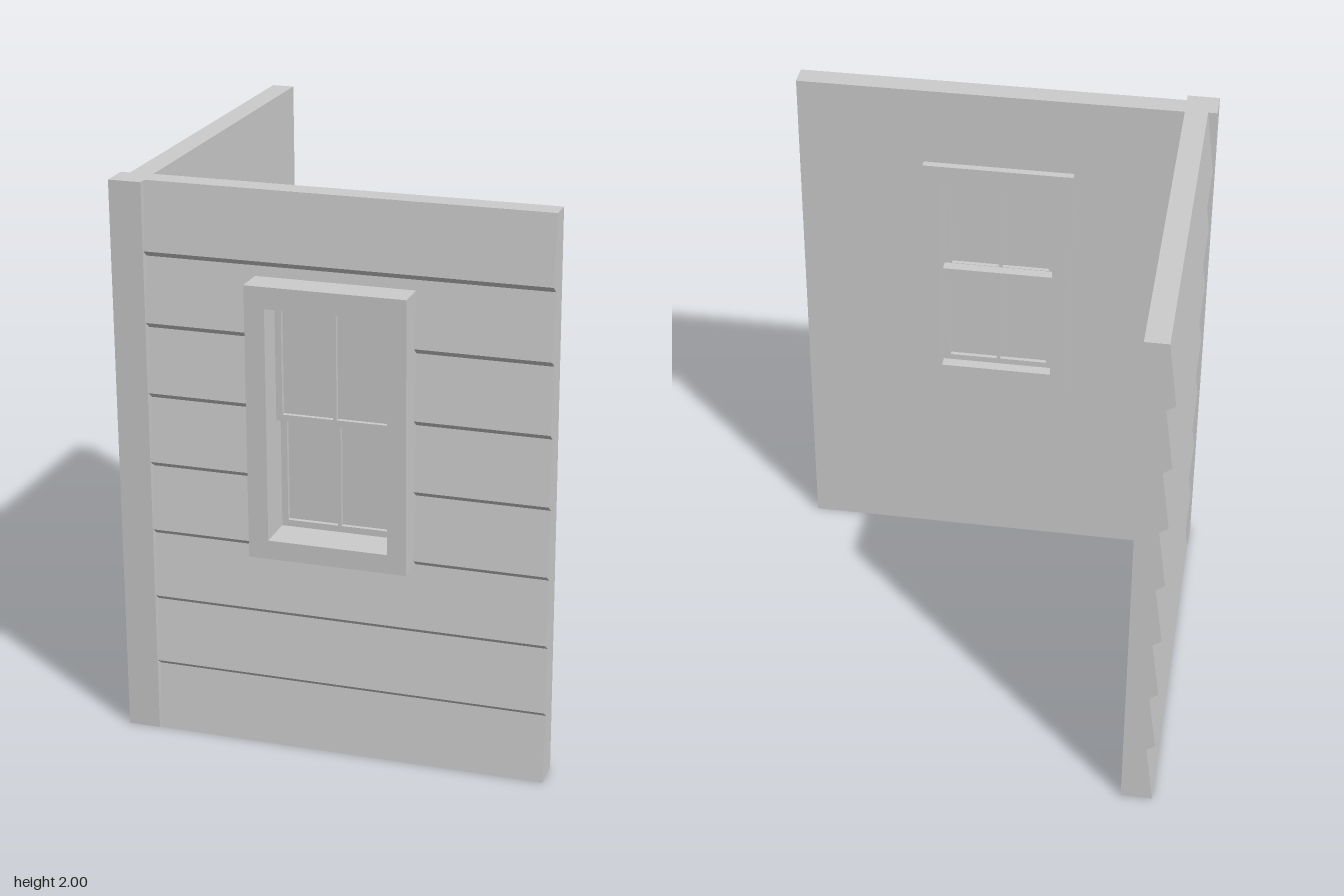
import * as THREE from 'three';

const material = new THREE.MeshStandardMaterial({ color: 0xcccccc, flatShading: true });

const HEIGHT = 2, COURSE = 0.25;      // wall height and clapboard spacing
const THICK = 0.112, RECESS = 0.082;  // wall depth at a board's lip and under it
const INSIDE_X = -0.645, INSIDE_Z = 0.603;

function mesh(name, geometry, parent) {
  const m = new THREE.Mesh(geometry, material);
  m.name = name;
  parent.add(m);
  return m;
}

// Box given by its limits on each axis
function box(name, [x0, x1], [y0, y1], [z0, z1], parent) {
  const g = new THREE.BoxGeometry(x1 - x0, y1 - y0, z1 - z0);
  g.translate((x0 + x1) / 2, (y0 + y1) / 2, (z0 + z1) / 2);
  return mesh(name, g, parent);
}

// Sawtooth outline of the clapboards as [depth, y]
const sawtooth = [];
for (let i = 0; i < HEIGHT / COURSE; i++) {
  const y = i * COURSE, last = (i + 1) * COURSE === HEIGHT;
  sawtooth.push([THICK, i ? y + 0.013 : 0], [RECESS, y + COURSE - (last ? 0 : 0.01)]);
}

function depthAt(y) {
  const i = Math.max(1, sawtooth.findIndex((p) => p[1] >= y));
  const [a, b] = [sawtooth[i - 1], sawtooth[i]];
  return a[0] + (b[0] - a[0]) * (y - a[1]) / (b[1] - a[1]);
}

// Length of clapboard wall between two heights, outside towards +x, running along +z
function sidingGeometry(length, y0 = 0, y1 = HEIGHT) {
  const inner = sawtooth.filter((p) => p[1] > y0 && p[1] < y1);
  const outline = [[0, y0], [depthAt(y0), y0], ...inner, [depthAt(y1), y1], [0, y1]];
  const shape = new THREE.Shape(outline.map((p) => new THREE.Vector2(...p)));
  return new THREE.ExtrudeGeometry(shape, { depth: length, bevelEnabled: false });
}

function frontSiding(name, x0, x1, y0, y1, parent) {
  const g = sidingGeometry(x1 - x0, y0, y1).rotateY(-Math.PI / 2);
  mesh(name, g.translate(x1, 0, INSIDE_Z), parent);
}

function rectangle(Type, [x0, x1], [y0, y1]) {
  return new Type([[x0, y0], [x1, y0], [x1, y1], [x0, y1]].map((p) => new THREE.Vector2(...p)));
}

// Rectangular frame with rectangular openings, between two z values
function frame(name, xs, ys, [z0, z1], openings, parent) {
  const shape = rectangle(THREE.Shape, xs, ys);
  for (const [ox, oy] of openings) shape.holes.push(rectangle(THREE.Path, ox, oy));
  const g = new THREE.ExtrudeGeometry(shape, { depth: z1 - z0, bevelEnabled: false });
  mesh(name, g.translate(0, 0, z0), parent);
}

// Sash with two tall panes
function sash(name, [y0, y1], [z0, z1], parent) {
  const group = new THREE.Group();
  group.name = name;
  parent.add(group);
  const panes = [[-0.168, 0.01], [0.023, 0.203]].map((px) => [px, [y0 + 0.023, y1 - 0.023]]);
  frame('sashFrame', [-0.19, 0.23], [y0, y1], [z0, z1], panes, group);
  const mid = (z0 + z1) / 2;
  for (const [px, py] of panes) box('glassPane', px, py, [mid - 0.004, mid + 0.004], group);
}

export function createModel() {
  const model = new THREE.Group();
  model.name = 'wallCorner';

  // Front wall, built around the window opening
  const front = new THREE.Group();
  front.name = 'frontWall';
  model.add(front);
  const [hx0, hx1, hy0, hy1] = [-0.225, 0.26, 0.78, 1.67];
  frontSiding('sidingRightOfWindow', INSIDE_X, hx0, 0, HEIGHT, front);
  frontSiding('sidingLeftOfWindow', hx1, 0.757, 0, HEIGHT, front);
  frontSiding('sidingBelowWindow', hx0, hx1, 0, hy0, front);
  frontSiding('sidingAboveWindow', hx0, hx1, hy1, HEIGHT, front);

  // Side wall and corner post
  const side = sidingGeometry(1.41).rotateY(Math.PI).translate(INSIDE_X, 0, 0.61);
  mesh('sideWall', side, model);
  box('cornerPost', [-0.76, INSIDE_X], [0, HEIGHT], [0.61, 0.718], model);

  // Window: deep casing, outer upper sash and inner lower sash
  const win = new THREE.Group();
  win.name = 'window';
  model.add(win);
  frame('windowCasing', [-0.26, 0.295], [0.745, 1.705], [0.575, 0.8],
    [[[-0.19, 0.23], [0.812, 1.63]]], win);
  sash('upperSash', [1.209, 1.63], [0.66, 0.7], win);
  sash('lowerSash', [0.812, 1.232], [0.618, 0.658], win);

  return model;
}
